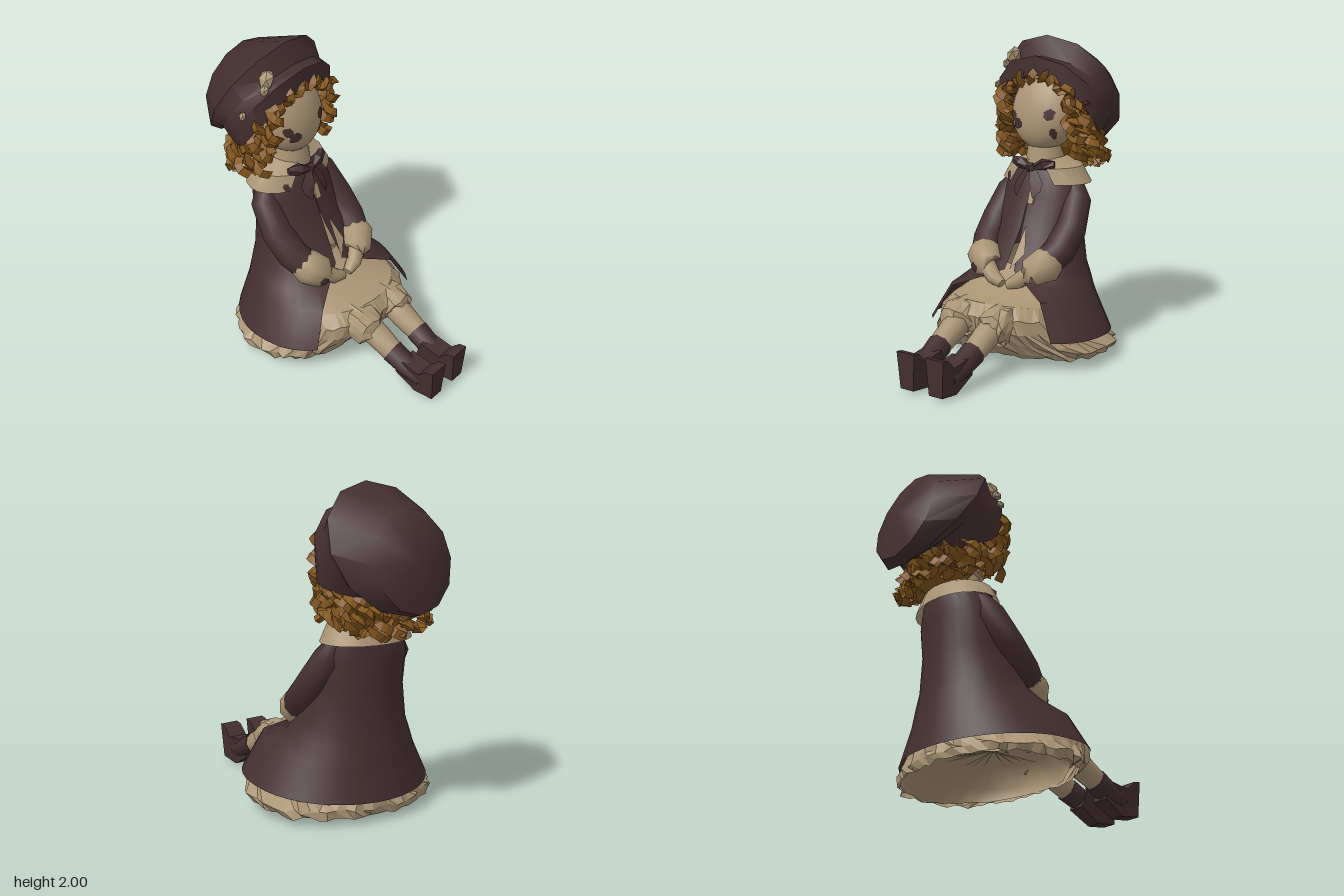
import * as THREE from 'three';
import { toCreasedNormals } from 'three/addons/utils/BufferGeometryUtils.js';

const V = (x, y, z) => new THREE.Vector3(x, y, z);
const lerp = THREE.MathUtils.lerp;
const rad = THREE.MathUtils.degToRad;

export function createModel() {
  const root = new THREE.Group();
  root.name = 'seatedDoll';

  const material = (name, color) => {
    const m = new THREE.MeshStandardMaterial({ color, side: THREE.DoubleSide });
    m.name = name;
    return m;
  };
  const maroon = material('maroonCloth', 0x452f30);
  const tan = material('tanCloth', 0xab9475);
  const brown = material('brownHair', 0x83571f);

  let seed = 7;
  const rand = () => {
    seed = (seed * 16807) % 2147483647;
    return seed / 2147483647;
  };
  const jitter = (s) => (rand() - 0.5) * 2 * s;

  const add = (name, geo, mat, parent = root) => {
    const mesh = new THREE.Mesh(geo, mat);
    mesh.name = name;
    parent.add(mesh);
    return mesh;
  };
  const soft = (geo, angle = 0.7) => toCreasedNormals(geo, angle);
  const flat = (geo) => {
    const g = geo.index ? geo.toNonIndexed() : geo;
    g.computeVertexNormals();
    return g;
  };

  // Skin a list of equal-length point rows
  const loft = (rows) => {
    const n = rows[0].length, index = [];
    for (let i = 0; i < rows.length - 1; i++)
      for (let j = 0; j < n - 1; j++) {
        const a = i * n + j, b = a + n;
        index.push(a, b, b + 1, a, b + 1, a + 1);
      }
    const geo = new THREE.BufferGeometry().setFromPoints(rows.flat());
    geo.setIndex(index);
    return geo;
  };

  // Garment ring: [yBack, yFront, zBack, zFront, halfWidth, frontOpeningDegrees]; power < 1 squares the front
  const ring = ([yB, yF, zB, zF, rx, open = 0], n, noise = 0, power = 1) => {
    const pts = [];
    for (let j = 0; j <= n; j++) {
      const a = lerp(rad(open), Math.PI * 2 - rad(open), j / n);
      const c = Math.cos(a), t = (1 + c) / 2;
      const k = 1 + jitter(noise);
      pts.push(V(rx * k * Math.sin(a), lerp(yB, yF, t) + jitter(noise * 0.35),
        (zB + zF) / 2 + (zF - zB) / 2 * k * (c > 0 ? c ** power : c)));
    }
    if (open === 0) pts[n].copy(pts[0]);
    return pts;
  };

  // Limb: rings around a path of [x, y, z, radius], optionally ragged
  const limb = (path, sides, noise = 0) => {
    const pts = path.map((p) => V(p[0], p[1], p[2]));
    const rows = pts.map((p, i) => {
      const dir = pts[Math.min(i + 1, pts.length - 1)].clone().sub(pts[Math.max(i - 1, 0)]).normalize();
      const u = V(1, 0, 0).addScaledVector(dir, -dir.x).normalize();
      const w = u.clone().cross(dir);
      const row = Array.from({ length: sides + 1 }, (_, j) => {
        const a = (j / sides) * Math.PI * 2, r = path[i][3] * (1 + jitter(noise));
        return p.clone().addScaledVector(u, Math.cos(a) * r).addScaledVector(w, Math.sin(a) * r)
          .addScaledVector(dir, jitter(noise * 0.15));
      });
      row[sides].copy(row[0]);
      return row;
    });
    return loft([rows[0].map(() => pts[0]), ...rows, rows[0].map(() => pts[pts.length - 1])]);
  };

  // Ragged patch laid on the front of another part
  const patch = (name, target, x, y, w, h, turn) => {
    const geo = new THREE.CircleGeometry(1, 20);
    const p = geo.attributes.position;
    for (let i = 1; i < p.count - 1; i++) {
      const k = 1 + jitter(0.18);
      p.setXY(i, p.getX(i) * k, p.getY(i) * k);
    }
    p.setXY(p.count - 1, p.getX(1), p.getY(1));
    geo.scale(w, h, 1).rotateZ(turn).translate(x, y, 0);
    let z = 0;
    for (let i = 0; i < p.count; i++) {
      const hit = new THREE.Raycaster(V(p.getX(i), p.getY(i), 2), V(0, 0, -1)).intersectObject(target)[0];
      if (hit) z = hit.point.z;
      p.setZ(i, z + 0.009);
    }
    geo.computeVertexNormals();
    add(name, geo, maroon);
  };

  // Dress lap, ragged petticoat and its hollow underside
  const lap = [[0.62, 0.56, -0.57, -0.1, 0.25], [0.45, 0.45, -0.6, 0.04, 0.34], [0.3, 0.42, -0.62, 0.32, 0.39]];
  add('dressLap', soft(loft(lap.map((r) => ring(r, 56, 0, 0.75)))), tan);
  const frill = [[0.3, 0.42, -0.62, 0.32, 0.39], [0.24, 0.35, -0.63, 0.39, 0.43], [0.18, 0.26, -0.65, 0.38, 0.48],
    [0.13, 0.17, -0.66, 0.31, 0.54], [0.09, 0.11, -0.67, 0.25, 0.6], [0.04, 0.07, -0.66, 0.21, 0.585]];
  add('petticoat', flat(loft(frill.map((r, i) => ring(r, 64, i ? 0.035 : 0, 0.75)))), tan);
  const under = [[0.05, 0.08, -0.66, 0.21, 0.57], [0.12, 0.16, -0.61, 0.25, 0.48], [0.2, 0.26, -0.48, 0.18, 0.32], [0.25, 0.25, -0.15, -0.15, 0]];
  add('petticoatUnderside', soft(loft(under.map((r) => ring(r, 28, 0.03))), 1.2), tan);

  // Coat, opening towards the lap
  const coat = [[1.2, 1.2, -0.55, -0.32, 0.11], [1.1, 1.13, -0.63, -0.27, 0.24], [0.98, 1.0, -0.63, -0.23, 0.28],
    [0.78, 0.8, -0.62, -0.14, 0.28, 1], [0.57, 0.55, -0.62, 0.0, 0.34, 6], [0.46, 0.49, -0.635, 0.11, 0.395, 28],
    [0.34, 0.45, -0.65, 0.27, 0.46, 46], [0.13, 0.225, -0.69, 0.37, 0.585, 50]];
  add('coat', soft(loft(coat.map((r) => ring(r, 28, 0, 0.78)))), maroon);
  // Dress front showing through the coat
  const gap = new THREE.BufferGeometry().setFromPoints([V(0.04, 0.82, -0.132), V(0.01, 0.56, 0.014), V(0.09, 0.66, -0.045)]);
  add('dressFront', flat(gap), tan);
  add('coatButton', new THREE.BoxGeometry(0.04, 0.1, 0.015).rotateX(-0.35).translate(0.025, 0.99, -0.22), tan);

  // Collar and neck
  const collarRings = [[1.24, 1.22, -0.56, -0.31, 0.13, 16], [1.18, 1.17, -0.63, -0.25, 0.25, 24], [1.07, 1.07, -0.66, -0.23, 0.31, 32]];
  const collar = add('collar', soft(loft(collarRings.map((r) => ring(r, 18))), 0.6), tan);
  patch('collarSpot', collar, -0.185, 1.1, 0.02, 0.025, 0);
  add('neck', soft(new THREE.CylinderGeometry(0.1, 0.14, 0.26, 12).translate(0, 1.25, -0.42)), tan);

  // Ribbon bow with two tails
  const bow = new THREE.Group();
  bow.name = 'bow';
  root.add(bow);
  add('bowKnot', flat(new THREE.DodecahedronGeometry(0.035).translate(0, 1.17, -0.25)), maroon, bow);
  for (const s of [-1, 1]) {
    const loop = limb([[s * 0.01, 1.17, -0.25, 0.02], [s * 0.08, 1.195, -0.26, 0.04], [s * 0.15, 1.2, -0.29, 0.025]], 5);
    add('bowLoop', flat(loop), maroon, bow);
    const tail = loft([[V(0, 1.18, -0.24), V(s * 0.04, 1.17, -0.25)],
      [V(s * 0.02, 1.09, -0.19), V(s * 0.1, 1.08, -0.23)], [V(s * 0.06, 0.99, -0.17), V(s * 0.1, 1.03, -0.2)]]);
    add('bowTail', flat(tail), maroon, bow);
  }

  // Arms and legs, mirrored
  for (const s of [-1, 1]) {
    const side = s > 0 ? 'left' : 'right';
    const part = (name, path, n, mat) =>
      add(side + name, soft(limb(path.map(([x, y, z, r]) => [s * x, y, z, r]), n), 1.1), mat);
    part('Sleeve', [[0.2, 1.08, -0.44, 0.06], [0.25, 0.97, -0.4, 0.095], [0.28, 0.8, -0.28, 0.1],
      [0.27, 0.68, -0.16, 0.1], [0.23, 0.61, -0.07, 0.095]], 10, maroon);
    const cuff = part('Cuff', [[0.255, 0.635, -0.11, 0.09], [0.235, 0.61, -0.07, 0.115], [0.16, 0.55, 0.0, 0.1], [0.15, 0.545, 0.0, 0.07]], 9, tan);
    if (s < 0) patch('cuffSpot', cuff, -0.22, 0.55, 0.03, 0.03, 0);
    part('Hand', [[0.17, 0.56, 0.0, 0.06], [0.09, 0.5, 0.04, 0.05], [0.02, 0.47, 0.05, 0.03]], 8, tan);
    const knee = [[s * 0.14, 0.32, 0.22, 0.1], [s * 0.14, 0.31, 0.32, 0.115], [s * 0.135, 0.28, 0.385, 0.115], [s * 0.13, 0.27, 0.4, 0.08]];
    add(side + 'KneeFrill', flat(limb(knee, 14, 0.12)), tan);
    part('Leg', [[0.13, 0.3, 0.34, 0.085], [0.125, 0.25, 0.45, 0.08], [0.125, 0.19, 0.57, 0.07]], 10, tan);
    part('Sock', [[0.125, 0.195, 0.56, 0.077], [0.115, 0.13, 0.7, 0.07], [0.11, 0.1, 0.8, 0.06]], 8, maroon);
    // Boot narrowing towards the sole
    const sole = [[0.62, 0.08], [0.77, 0], [0.91, 0.02], [0.92, 0.25], [0.87, 0.24], [0.81, 0.18], [0.66, 0.2]];
    const boot = new THREE.ExtrudeGeometry(new THREE.Shape(sole.map(([z, y]) => new THREE.Vector2(-z, y))),
      { depth: 0.13, bevelEnabled: false }).rotateY(Math.PI / 2).translate(-0.065, 0, 0);
    const bp = boot.attributes.position;
    for (let i = 0; i < bp.count; i++) bp.setX(i, bp.getX(i) * lerp(0.7, 1, Math.min(bp.getY(i) / 0.16, 1)));
    add(side + 'Boot', flat(boot.translate(s * 0.105, 0, 0)), maroon);
  }

  // Head with a broad, flattened face and a fuller lower half
  const headGeo = new THREE.SphereGeometry(1, 28, 20).scale(0.235, 0.26, 0.21).translate(0, 1.53, -0.46);
  const hp = headGeo.attributes.position;
  for (let i = 0; i < hp.count; i++) {
    const x = hp.getX(i), y = hp.getY(i), z = hp.getZ(i);
    const q = Math.max(1 - (x / 0.235) ** 2 - ((y - 1.53) / 0.26) ** 2, 0);
    hp.setZ(i, (z > -0.455 ? -0.46 + 0.205 * q ** 0.38 : z) - (y - 1.53) * 0.19);
  }
  headGeo.computeVertexNormals();
  const head = add('head', headGeo, tan);
  patch('rightEye', head, -0.15, 1.49, 0.028, 0.036, 0.5);
  patch('rightEyeSmudge', head, -0.108, 1.443, 0.038, 0.034, 0);
  patch('leftEye', head, 0.12, 1.515, 0.034, 0.042, -0.4);
  patch('mouth', head, 0.14, 1.395, 0.022, 0.034, 0);

  // Hair: inner mass, hanging curls and a curly fringe
  const hair = new THREE.Group();
  hair.name = 'hair';
  root.add(hair);
  add('hairMass', flat(new THREE.SphereGeometry(1, 14, 10).scale(0.29, 0.3, 0.21).translate(0, 1.47, -0.57)), brown, hair);
  const curl = (from, to, r, turns, thick) => {
    const phase = rand() * 6.28, pts = [];
    const dir = to.clone().sub(from).normalize();
    const u = V(0.3, 0.2, 1).cross(dir).normalize(), w = u.clone().cross(dir);
    const n = Math.ceil(turns * 4);
    for (let i = 0; i <= n; i++) {
      const a = phase + (i / n) * turns * 6.28, k = r * (1 + jitter(0.4));
      pts.push(from.clone().lerp(to, i / n).addScaledVector(u, k * Math.cos(a)).addScaledVector(w, k * Math.sin(a)));
    }
    add('curl', flat(new THREE.TubeGeometry(new THREE.CatmullRomCurve3(pts), n * 2, thick, 3)), brown, hair);
  };
  for (let i = 0; i <= 24; i++) {
    const a = rad(lerp(62, 298, i / 24)), t = (1 - Math.cos(a)) / 2;
    const c = Math.cos(a), s = Math.sin(a);
    curl(V(0.27 * s, lerp(1.66, 1.4, t), -0.5 + 0.2 * c),
      V(0.33 * s + jitter(0.02), lerp(1.25, 1.16, t) + jitter(0.04), -0.54 + 0.23 * c), 0.035, 2.4, 0.032);
  }
  for (const s of [-1, 1]) {
    curl(V(s * 0.235, 1.7, -0.3), V(s * 0.25, 1.4, -0.3), 0.035, 2.5, 0.03);
    curl(V(s * 0.25, 1.5, -0.34), V(s * 0.28, 1.23, -0.39), 0.04, 2.5, 0.03);
    curl(V(s * 0.29, 1.6, -0.37), V(s * 0.34, 1.22, -0.45), 0.04, 2.8, 0.03);
  }
  for (let i = 0; i < 8; i++) {
    const p = (k) => {
      const a = lerp(-1.25, 1.25, k / 8);
      return V(0.25 * Math.sin(a), 1.51 + 0.25 * Math.cos(a), -0.34 + 0.04 * Math.cos(a));
    };
    curl(p(i - 0.2), p(i + 1.2), 0.03, 1.5, 0.028);
  }

  // Beret tilted back: [zTop, yTop, zBottom, yBottom, halfWidth, sideDrop]
  const hat = [[-0.34, 1.76, -0.66, 1.33, 0.3, 0.6], [-0.28, 1.76, -0.64, 1.29, 0.365, 1], [-0.28, 1.88, -0.72, 1.31, 0.39, 0.5],
    [-0.37, 1.87, -0.76, 1.34, 0.385, 0.1], [-0.43, 2.0, -0.85, 1.26, 0.415, 0], [-0.8, 1.87, -0.925, 1.28, 0.28, 0], [-0.925, 1.58, -0.925, 1.58, 0, 0]];
  const hatRows = hat.map(([zT, yT, zB, yB, rx, drop]) => Array.from({ length: 13 }, (_, j) => {
    const a = (j / 12) * Math.PI * 2, t = (1 + Math.cos(a)) / 2, d = drop * Math.sin(a) ** 2;
    return V(-rx * Math.sin(a), lerp(yB, yT, t) - 0.08 * d, lerp(zB, zT, t) + 0.015 * d);
  }));
  add('beret', soft(loft(hatRows), 0.9), maroon);

  // Small cloth flowers on the beret band
  const flower = (x, y, z, r) => {
    const geo = new THREE.IcosahedronGeometry(r, 0).scale(0.75, 1.1, 0.9).rotateZ(-0.5);
    add('hatFlower', flat(geo.translate(x, y, z)), tan);
  };
  flower(-0.22, 1.86, -0.38, 0.06);
  flower(-0.26, 1.81, -0.36, 0.035);
  flower(-0.38, 1.66, -0.43, 0.028);

  return root;
}
